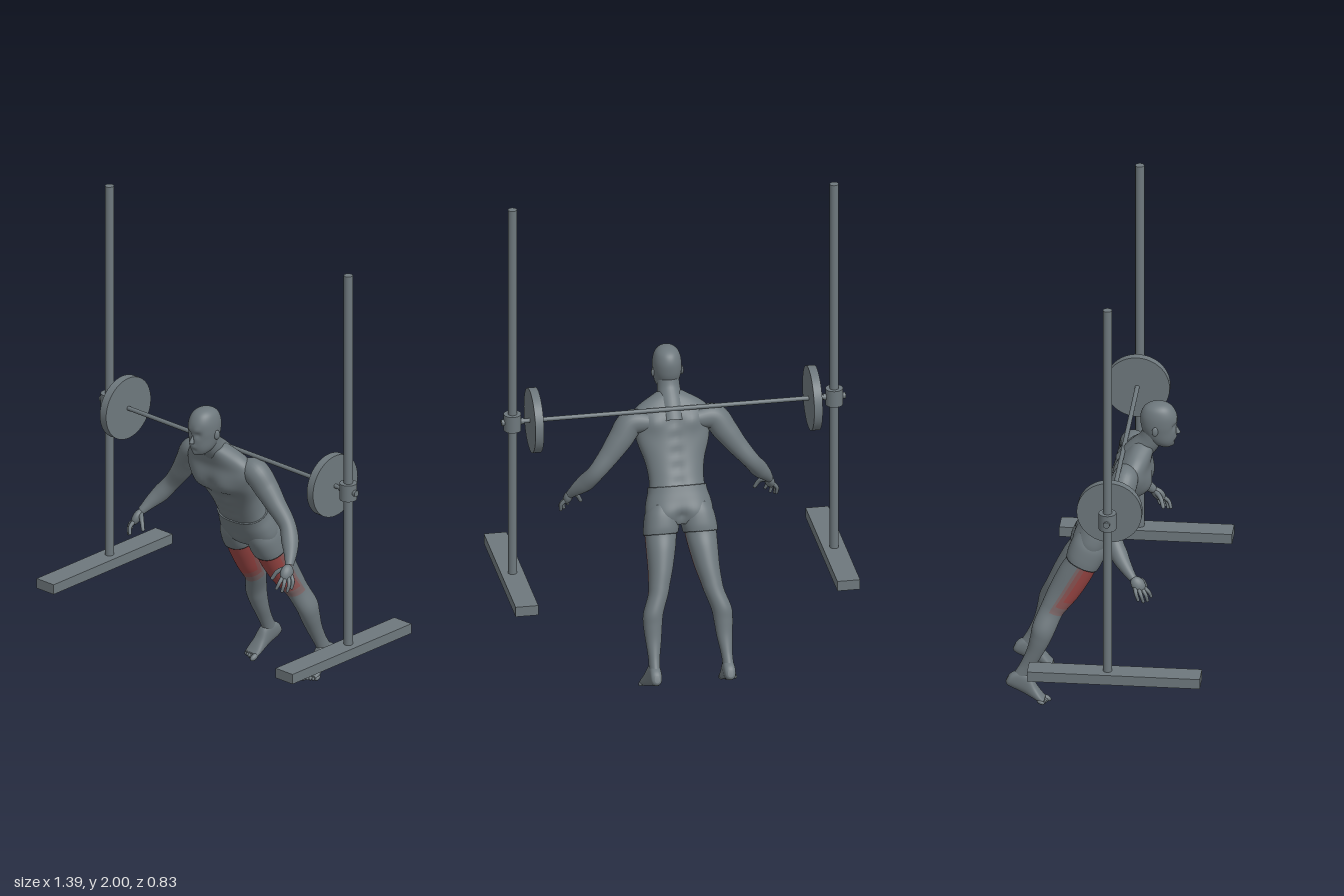
import * as THREE from 'three';

const mat = (name, color) => Object.assign(new THREE.MeshStandardMaterial({ color }), { name });
const steel = mat('steel grey', 0x6e787d);
const skin = mat('body grey', 0x6d777c);
const red = mat('muscle red', 0x9a4644);
const redMid = mat('muscle red fading', 0x8b5453);
const redFaint = mat('muscle red faint', 0x7c6768);

function add(parent, name, geometry, material, x = 0, y = 0, z = 0) {
  const m = new THREE.Mesh(geometry, material);
  m.name = name;
  m.position.set(x, y, z);
  parent.add(m);
  return m;
}

// Catmull-Rom blend of whole ring rows
function blend(rows, f) {
  const i = Math.min(Math.floor(f), rows.length - 2), t = f - i;
  const at = k => rows[Math.max(0, Math.min(rows.length - 1, k))];
  const [a, b, c, d] = [at(i - 1), at(i), at(i + 1), at(i + 2)];
  return b.map((v, k) => v + 0.5 * t * (c[k] - a[k] +
    t * (2 * a[k] - 5 * v + 4 * c[k] - d[k] + t * (3 * (v - c[k]) + d[k] - a[k]))));
}

// Rings [s, xMin, xMax, lo, hi] stacked along y (lo/hi in z) or along z (lo/hi in y).
// paint(sine of the angle, s) may pick a material index for each face.
function loft(rows, { axis = 'y', n = 48, sub = 5, power = 2.3, paint = null, bumps = [] } = {}) {
  rows = [...rows].sort((a, b) => a[0] - b[0]);
  const pos = [], count = (rows.length - 1) * sub, faces = [[], [], [], []];
  const round = v => Math.sign(v) * Math.abs(v) ** (2 / power);
  const put = (x, s, w) => axis === 'y' ? pos.push(x, s, w) : pos.push(x, w, s);
  const rings = [];
  for (let i = 0; i <= count; i++) {
    const [s, x0, x1, lo, hi] = blend(rows, i / sub);
    rings.push(s);
    for (let j = 0; j < n; j++) {
      const q = (j / n) * Math.PI * 2 * (axis === 'y' ? 1 : -1);
      put((x0 + x1) / 2 + (x1 - x0) / 2 * round(Math.cos(q)), s, (lo + hi) / 2 + (hi - lo) / 2 * round(Math.sin(q)));
    }
  }
  for (const r of [rows[0], rows[rows.length - 1]]) put((r[1] + r[2]) / 2, r[0], (r[3] + r[4]) / 2);
  const first = (count + 1) * n;
  for (let j = 0; j < n; j++) {
    const k = (j + 1) % n;
    for (let i = 0; i < count; i++) {
      const a = i * n + j, b = i * n + k;
      const f = paint ? paint(Math.sin((j + 0.5) / n * Math.PI * 2), (rings[i] + rings[i + 1]) / 2) : 0;
      faces[f].push(a, a + n, b, b, a + n, b + n);
    }
    faces[0].push(first, j, k, first + 1, count * n + k, count * n + j);
  }
  const g = new THREE.BufferGeometry();
  g.setAttribute('position', new THREE.Float32BufferAttribute(pos, 3));
  g.setIndex(faces.flat());
  if (paint) {
    let start = 0;
    faces.forEach((f, i) => { g.addGroup(start, f.length, i); start += f.length; });
  }
  g.computeVertexNormals();
  return sculpt(g, bumps);
}

// Push the surface out (or in) around points [x, y, z, radius, amount], on both sides
function sculpt(g, bumps) {
  const p = g.attributes.position, nor = g.attributes.normal, v = new THREE.Vector3(), d = new THREE.Vector3();
  for (let i = 0; i < p.count; i++) {
    v.fromBufferAttribute(p, i);
    let h = 0;
    for (const [x, y, z, r, amount] of bumps)
      h += amount * Math.exp(-((Math.abs(v.x) - x) ** 2 + (v.y - y) ** 2 + (v.z - z) ** 2) / (r * r));
    v.addScaledVector(d.fromBufferAttribute(nor, i), h);
    p.setXYZ(i, v.x, v.y, v.z);
  }
  g.computeVertexNormals();
  return g;
}

// Tube with changing radius through points [x, y, z, radius]
function limb(points, side = 1, seg = 36, n = 20) {
  const curve = new THREE.CatmullRomCurve3(points.map(p => new THREE.Vector3(p[0] * side, p[1], p[2])));
  const g = new THREE.TubeGeometry(curve, seg, 1, n), p = g.attributes.position, v = new THREE.Vector3();
  for (let i = 0; i <= seg; i++) {
    const c = curve.getPointAt(i / seg), f = curve.getUtoTmapping(i / seg) * (points.length - 1);
    const r = Math.max(0.0005, blend(points, f)[3]);
    for (let j = 0; j <= n; j++) {
      const k = i * (n + 1) + j;
      v.fromBufferAttribute(p, k).sub(c).multiplyScalar(r).add(c);
      p.setXYZ(k, v.x, v.y, v.z);
    }
  }
  return g;
}

const mirrorRows = (rows, side) => rows.map(([s, a, b, lo, hi]) => side > 0 ? [s, a, b, lo, hi] : [s, -b, -a, lo, hi]);
const even = rows => rows.map(([s, w, lo, hi]) => [s, -w, w, lo, hi]);

function buildRack() {
  const rack = new THREE.Group();
  rack.name = 'rack';
  const z = 0.037, y = 1.066;
  const rod = (name, r, len, x, n = 32) => add(rack, name, new THREE.CylinderGeometry(r, r, len, n), steel, x, y, z).rotation.z = Math.PI / 2;
  rod('bar', 0.009, 1.39, 0, 20);
  for (const s of [-1, 1]) {
    add(rack, 'base', new THREE.BoxGeometry(0.092, 0.042, 0.69), steel, s * 0.65, 0.381, 0.065);
    add(rack, 'post', new THREE.CylinderGeometry(0.018, 0.018, 1.61, 24), steel, s * 0.65, 1.195, z);
    add(rack, 'sleeve', new THREE.CylinderGeometry(0.035, 0.035, 0.07, 32), steel, s * 0.65, y, z);
    rod('barEnd', 0.013, 0.09, s * 0.65, 20);
    rod('weightPlate', 0.13, 0.034, s * 0.563, 64);
  }
  return rack;
}

// Torso, shorts, legs and feet, upright in a frame that leans forward
function buildLeaningBody() {
  const body = new THREE.Group();
  body.name = 'leaningBody';
  body.position.set(0, 0.6, -0.13);
  body.rotation.x = 0.42;

  const torsoBumps = [
    [0.065, 0.425, 0.115, 0.045, 0.012], [0, 0.42, 0.12, 0.018, -0.008], [0.06, 0.35, 0.1, 0.03, -0.006],
    [0.075, 0.44, -0.04, 0.04, 0.011], [0.125, 0.37, 0, 0.05, 0.006]];
  for (const u of [0.215, 0.26, 0.305]) torsoBumps.push([0.027, u, 0.088, 0.02, 0.006]);
  for (const u of [0.2, 0.26, 0.32, 0.38, 0.44]) torsoBumps.push([0, u, -0.045, 0.025, -0.007]);
  add(body, 'torso', loft(even([
    [0.1, 0.122, -0.06, 0.078], [0.17, 0.113, -0.056, 0.08], [0.22, 0.11, -0.049, 0.082], [0.28, 0.117, -0.043, 0.086],
    [0.34, 0.132, -0.04, 0.096], [0.4, 0.148, -0.04, 0.115], [0.45, 0.162, -0.04, 0.105], [0.49, 0.155, -0.033, 0.085],
    [0.52, 0.125, -0.024, 0.077], [0.545, 0.085, -0.014, 0.072], [0.565, 0.05, 0, 0.068]
  ]), { n: 64, bumps: torsoBumps }), skin);

  const hipBumps = [[0.062, 0.06, -0.06, 0.05, 0.01], [0, 0.06, -0.065, 0.022, -0.016], [0, 0.085, 0.085, 0.03, 0.006]];
  add(body, 'shorts', loft(even([
    [0.035, 0.08, -0.035, 0.045], [0.06, 0.128, -0.054, 0.075], [0.09, 0.136, -0.064, 0.084], [0.13, 0.13, -0.064, 0.086],
    [0.165, 0.12, -0.061, 0.086], [0.188, 0.117, -0.059, 0.086]
  ]), { n: 64, bumps: hipBumps }), skin);

  // strongest red on the upper front of the thigh, fading back and down
  const paintThigh = (front, u) => {
    const k = Math.min(1.5 * (front + 0.35), (u + 0.255) / 0.1);
    return k > 0.9 ? 1 : k > 0.55 ? 2 : k > 0.22 ? 3 : 0;
  };
  for (const s of [-1, 1]) {
    add(body, 'shortsLeg', loft(mirrorRows([
      [0, 0.012, 0.149, -0.058, 0.08], [0.03, 0.006, 0.147, -0.064, 0.083], [0.08, 0.004, 0.138, -0.064, 0.082],
      [0.12, 0.01, 0.12, -0.055, 0.07]], s)), skin);
    add(body, 'leg', loft(mirrorRows([
      [0.04, 0.012, 0.142, -0.055, 0.076], [0, 0.017, 0.144, -0.053, 0.074], [-0.06, 0.027, 0.144, -0.061, 0.071],
      [-0.14, 0.045, 0.144, -0.064, 0.059], [-0.2, 0.062, 0.148, -0.063, 0.042], [-0.24, 0.073, 0.154, -0.062, 0.033],
      [-0.31, 0.097, 0.178, -0.06, 0.034], [-0.36, 0.105, 0.18, -0.048, 0.034], [-0.42, 0.112, 0.175, -0.036, 0.03],
      [-0.48, 0.122, 0.17, -0.034, 0.025], [-0.52, 0.126, 0.17, -0.037, 0.023], [-0.57, 0.126, 0.172, -0.044, 0.025]
    ], s), { n: 72, sub: 7, power: 2.1, paint: paintThigh }), [skin, red, redMid, redFaint]);
    add(body, 'foot', loft(mirrorRows([
      [-0.054, 0.138, 0.158, -0.588, -0.56], [-0.045, 0.128, 0.17, -0.597, -0.54], [-0.02, 0.124, 0.173, -0.6, -0.515],
      [0.02, 0.126, 0.177, -0.599, -0.512], [0.06, 0.126, 0.187, -0.599, -0.543], [0.095, 0.126, 0.195, -0.599, -0.565],
      [0.115, 0.13, 0.193, -0.598, -0.575]], s), { axis: 'z', n: 32 }), skin);
    // toes
    for (let i = 0; i < 5; i++) {
      const r = i ? 0.0085 : 0.012;
      const toe = add(body, 'toe', new THREE.SphereGeometry(r, 12, 10), skin, s * (0.139 + i * 0.0125 + (i ? 0.002 : 0)), -0.599 + r, 0.121 - i * 0.004);
      toe.scale.z = 1.9;
    }
  }
  return body;
}

function buildHead() {
  const head = new THREE.Group();
  head.name = 'head';
  add(head, 'skull', loft(even([
    [1.278, 0.006, 0.17, 0.185], [1.272, 0.028, 0.142, 0.212], [1.255, 0.046, 0.118, 0.234], [1.225, 0.056, 0.105, 0.249],
    [1.19, 0.058, 0.105, 0.25], [1.16, 0.055, 0.112, 0.247], [1.13, 0.05, 0.128, 0.245], [1.11, 0.042, 0.148, 0.24],
    [1.094, 0.028, 0.175, 0.232], [1.087, 0.01, 0.198, 0.22]
  ]), { power: 2.1, bumps: [
    [0.023, 1.182, 0.243, 0.014, -0.009], [0.02, 1.2, 0.248, 0.014, 0.004], [0, 1.128, 0.246, 0.012, 0.005],
    [0, 1.114, 0.242, 0.009, -0.004], [0, 1.098, 0.236, 0.012, 0.005]] }), skin);
  const nose = add(head, 'nose', new THREE.ConeGeometry(0.011, 0.042, 16), skin, 0, 1.167, 0.249);
  nose.rotation.x = -0.25;
  add(head, 'neck', limb([[0, 1.0, 0.05, 0.055], [0, 1.06, 0.095, 0.053], [0, 1.11, 0.14, 0.046], [0, 1.17, 0.165, 0.044]], 1, 20, 32), skin);
  for (const s of [-1, 1]) {
    const ear = add(head, 'ear', new THREE.SphereGeometry(0.02, 16, 12), skin, s * 0.058, 1.173, 0.168);
    ear.scale.set(0.35, 1, 0.65);
    ear.rotation.y = s * -0.3;
  }
  return head;
}

function buildArm(s) {
  const arm = new THREE.Group();
  arm.name = s > 0 ? 'leftArm' : 'rightArm';
  add(arm, 'armAndForearm', limb([
    [0.1, 1.01, 0.055, 0.04], [0.165, 1.01, 0.058, 0.053], [0.212, 0.95, 0.045, 0.05], [0.255, 0.89, 0.037, 0.042],
    [0.314, 0.815, 0.032, 0.034], [0.35, 0.765, 0.055, 0.035], [0.38, 0.725, 0.085, 0.026], [0.402, 0.69, 0.115, 0.017]
  ], s, 60, 28), skin);
  const palm = add(arm, 'palm', new THREE.SphereGeometry(1, 20, 16), skin, s * 0.407, 0.668, 0.135);
  palm.scale.set(0.018, 0.036, 0.027);
  palm.rotation.set(-0.6, s * -0.5, s * 0.15);
  // four fingers and a thumb: start, knuckle, tip
  const digits = [
    [[0.414, 0.665, 0.122], [0.436, 0.638, 0.13], [0.436, 0.613, 0.138]],
    [[0.414, 0.66, 0.135], [0.434, 0.632, 0.15], [0.432, 0.605, 0.158]],
    [[0.409, 0.658, 0.146], [0.421, 0.63, 0.167], [0.417, 0.604, 0.173]],
    [[0.404, 0.66, 0.152], [0.406, 0.636, 0.178], [0.399, 0.614, 0.186]],
    [[0.4, 0.685, 0.122], [0.369, 0.667, 0.148], [0.352, 0.637, 0.16]]];
  digits.forEach((d, i) => {
    const r = i === 4 ? 0.0095 : 0.008;
    add(arm, i === 4 ? 'thumb' : 'finger', limb(d.map((p, k) => [...p, r * (1.1 - 0.15 * k)]), s, 10, 12), skin);
    add(arm, 'fingertip', new THREE.SphereGeometry(r * 0.8, 12, 8), skin, s * d[2][0], d[2][1], d[2][2]);
  });
  return arm;
}

export function createModel() {
  const model = new THREE.Group();
  model.name = 'barbellLeanExercise';
  model.add(buildRack(), buildLeaningBody(), buildHead(), buildArm(1), buildArm(-1));
  return model;
}
